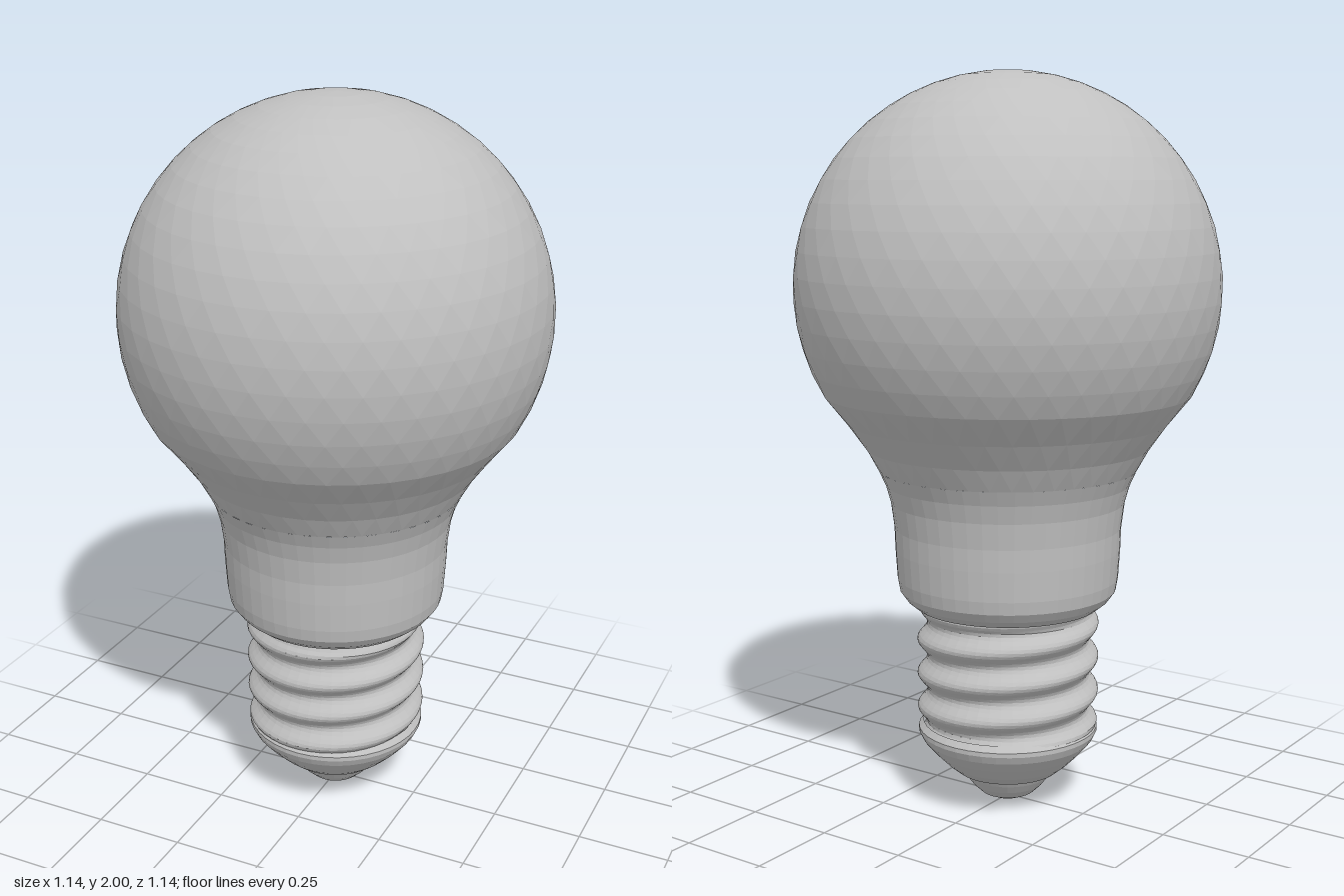
import * as THREE from 'three';

const SIDES = 40;

// Lathe from [radius, height] pairs, listed from bottom to top
function turned(name, profile, material, sides = SIDES) {
  const points = profile.map(([r, y]) => new THREE.Vector2(r, y));
  const mesh = new THREE.Mesh(new THREE.LatheGeometry(points, sides), material);
  mesh.name = name;
  return mesh;
}

export function createModel() {
  const model = new THREE.Group();
  model.name = 'lightBulb';
  const grey = new THREE.MeshStandardMaterial({ color: 0xc0c0c0, flatShading: true });
  grey.name = 'pale grey';

  // Globe: flared shoulder running into a sphere, rows twisted for slanting facets
  const globeProfile = [[0.352, 0.94], [0.385, 1.0], [0.435, 1.07]];
  const rows = 18;
  for (let i = 0; i <= rows; i++) {
    const a = THREE.MathUtils.lerp(-0.52, Math.PI / 2, i / rows);
    globeProfile.push([i === rows ? 0 : 0.572 * Math.cos(a), 1.43 + 0.57 * Math.sin(a)]);
  }
  const globe = turned('globe', globeProfile, grey);
  const gp = globe.geometry.attributes.position;
  const rowCount = globeProfile.length;
  const v = new THREE.Vector3();
  const up = new THREE.Vector3(0, 1, 0);
  for (let i = 0; i < gp.count; i++) {
    v.fromBufferAttribute(gp, i).applyAxisAngle(up, (i % rowCount) * Math.PI / SIDES);
    gp.setXYZ(i, v.x, v.y, v.z);
  }
  globe.geometry.computeVertexNormals();
  model.add(globe);

  // Neck with its rounded lower lip
  model.add(turned('neck', [
    [0.22, 0.555], [0.255, 0.56], [0.28, 0.58], [0.298, 0.605], [0.304, 0.64],
    [0.309, 0.72], [0.311, 0.78], [0.32, 0.85], [0.334, 0.9], [0.352, 0.94],
  ], grey, 48));

  // Screw thread: a cylinder whose radius follows a helix, fading out at its ends
  const bottom = 0.2, top = 0.56, pitch = 0.096;
  const thread = new THREE.CylinderGeometry(1, 1, top - bottom, 48, 40, true);
  thread.translate(0, (top + bottom) / 2, 0);
  const tp = thread.attributes.position;
  for (let i = 0; i < tp.count; i++) {
    const x = tp.getX(i), y = tp.getY(i), z = tp.getZ(i);
    const wave = Math.cos(2 * Math.PI * (y - 0.5) / pitch - Math.atan2(z, -x));
    const fade = Math.min(1, (y - bottom) / 0.03, (top - y) / 0.03);
    const r = 0.238 + 0.014 * wave * fade;
    tp.setXYZ(i, x * r, y, z * r);
  }
  thread.computeVertexNormals();
  const screw = new THREE.Mesh(thread, grey);
  screw.name = 'screwThread';
  model.add(screw);

  // Tapered base below the thread
  model.add(turned('baseCone', [
    [0.12, 0.078], [0.145, 0.085], [0.175, 0.11], [0.21, 0.145],
    [0.238, 0.178], [0.249, 0.2], [0.249, 0.212], [0.236, 0.228],
  ], grey));

  // Rounded contact at the foot
  model.add(turned('contactTip', [
    [0, 0], [0.045, 0.004], [0.075, 0.018], [0.1, 0.042], [0.118, 0.066], [0.128, 0.082],
  ], grey, 32));

  return model;
}
